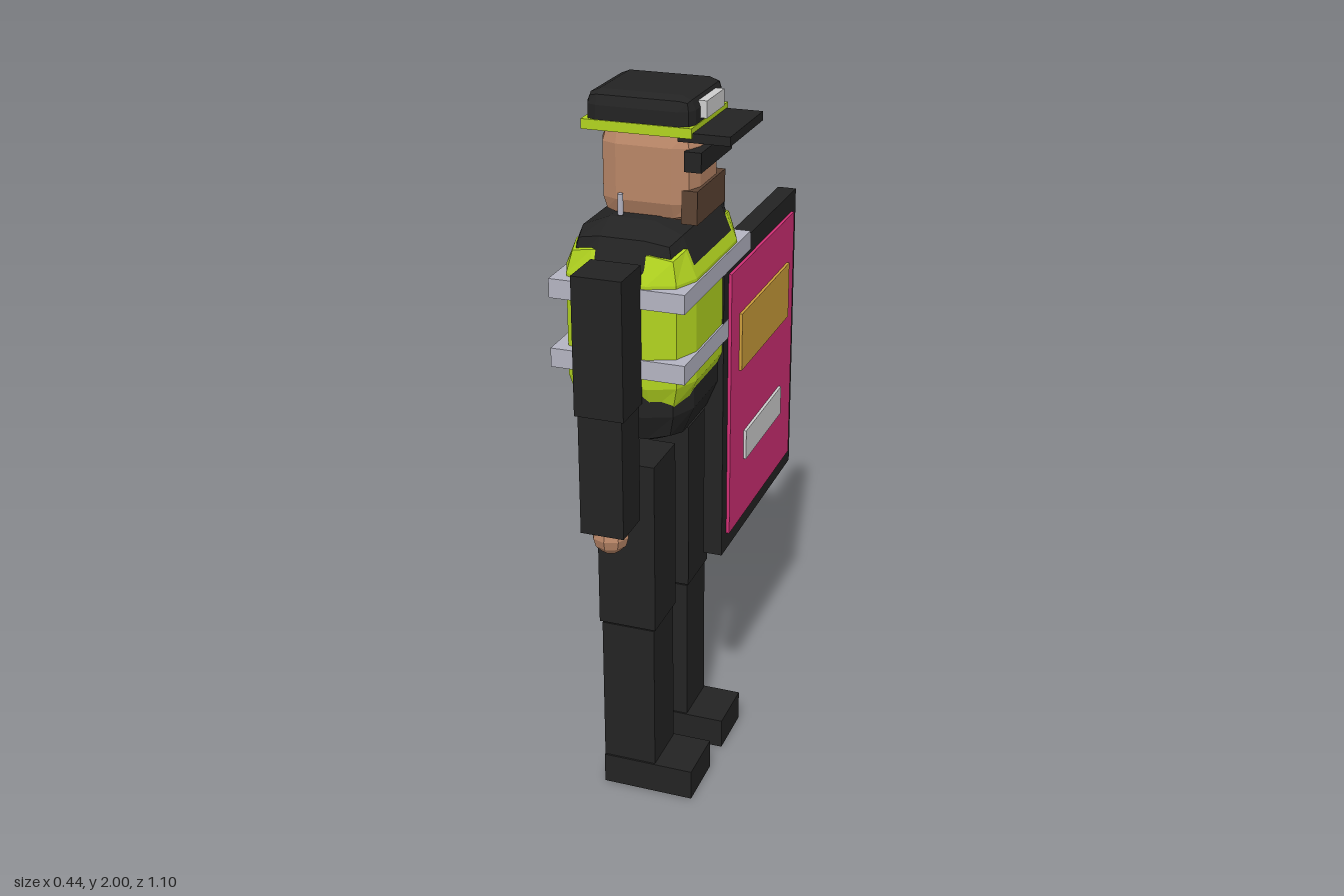
import * as THREE from 'three';
import { RoundedBoxGeometry } from 'three/addons/geometries/RoundedBoxGeometry.js';

const material = (name, color) => {
  const m = new THREE.MeshStandardMaterial({ color });
  m.name = name;
  return m;
};

export function createModel() {
  const black = material('black cloth', 0x232323);
  const lime = material('high visibility lime', 0xb2d420);
  const silver = material('reflective silver', 0xb4b4c2);
  const skin = material('skin', 0xb98667);
  const beardBrown = material('beard brown', 0x5c4333);
  const pink = material('shield pink', 0xd02e74);
  const gold = material('shield gold', 0xcc9d3b);
  const white = material('pale white', 0xcecece);

  const model = new THREE.Group();
  model.name = 'officer';

  const add = (parent, name, geometry, mat, x, y, z) => {
    const mesh = new THREE.Mesh(geometry, mat);
    mesh.name = name;
    mesh.position.set(x, y, z);
    parent.add(mesh);
    return mesh;
  };

  // Box given by its [min, max] extents; a radius gives it faceted round edges
  const block = (parent, name, mat, [x0, x1], [y0, y1], [z0, z1], radius = 0) => {
    const size = [x1 - x0, y1 - y0, z1 - z0];
    let geometry;
    if (radius) {
      geometry = new RoundedBoxGeometry(...size, 1, radius);
      geometry.computeVertexNormals(); // unshared vertices: flat facets
    } else {
      geometry = new THREE.BoxGeometry(...size);
    }
    return add(parent, name, geometry, mat, (x0 + x1) / 2, (y0 + y1) / 2, (z0 + z1) / 2);
  };

  const group = (name, z = 0) => {
    const g = new THREE.Group();
    g.name = name;
    g.position.z = z;
    model.add(g);
    return g;
  };

  // The body's middle plane lies at z = 0.16; the figure looks along +x
  const body = group('body', 0.159);
  block(body, 'torso', black, [-0.202, 0.13], [1.08, 1.685], [-0.252, 0.252], 0.105);
  block(body, 'vest', lime, [-0.214, 0.142], [1.17, 1.65], [-0.262, 0.262], 0.1);
  for (const y of [1.3, 1.49]) {
    block(body, 'vestStripe', silver, [-0.22, 0.147], [y, y + 0.052], [-0.267, 0.267]);
  }

  // Arms and legs, one of each per side
  for (const side of [1, -1]) {
    const arm = group('arm', 0.159 + side * 0.326);
    block(arm, 'upperArm', black, [-0.105, 0.029], [1.23, 1.605], [-0.066, 0.066]);
    block(arm, 'forearm', black, [-0.098, 0.022], [0.895, 1.23], [-0.06, 0.06]);
    const fist = new THREE.SphereGeometry(0.05, 8, 6).toNonIndexed();
    fist.computeVertexNormals();
    add(arm, 'hand', fist, skin, -0.038, 0.87, 0);

    const leg = group('leg', 0.164 + side * 0.135);
    block(leg, 'thigh', black, [-0.119, 0.045], [0.533, 1.03], [-0.082, 0.082]);
    block(leg, 'shin', black, [-0.113, 0.039], [0.03, 0.527], [-0.077, 0.077]);
    block(leg, 'boot', black, [-0.113, 0.15], [0, 0.09], [-0.082, 0.082]);
  }

  // Head with face details
  const head = group('head', 0.163);
  block(head, 'skull', skin, [-0.147, 0.118], [1.665, 1.925], [-0.12, 0.12], 0.058);
  block(head, 'beard', beardBrown, [0.083, 0.126], [1.672, 1.76], [-0.11, 0.11]);
  block(head, 'glasses', black, [0.095, 0.14], [1.812, 1.864], [-0.121, 0.121]);
  add(head, 'earpiece', new THREE.CylinderGeometry(0.008, 0.008, 0.055, 8), silver, -0.072, 1.715, 0.133);

  // Peaked cap
  const cap = group('cap', 0.16);
  block(cap, 'crown', black, [-0.17, 0.118], [1.892, 2], [-0.138, 0.138], 0.035);
  block(cap, 'capBand', lime, [-0.174, 0.12], [1.902, 1.928], [-0.141, 0.141]);
  block(cap, 'peak', black, [0.08, 0.218], [1.89, 1.914], [-0.132, 0.132]);
  block(cap, 'capBadge', white, [0.112, 0.135], [1.937, 1.981], [-0.067, 0.067]);

  // Shield with face panel and plates
  const shield = group('shield');
  block(shield, 'shieldBoard', black, [0.092, 0.146], [0.65, 1.535], [-0.547, 0.115]);
  block(shield, 'shieldPanel', pink, [0.146, 0.155], [0.702, 1.478], [-0.505, 0.075]);
  block(shield, 'upperPlate', gold, [0.155, 0.163], [1.175, 1.342], [-0.44, 0.004]);
  block(shield, 'lowerPlate', white, [0.155, 0.163], [0.882, 0.97], [-0.384, -0.047]);

  return model;
}
